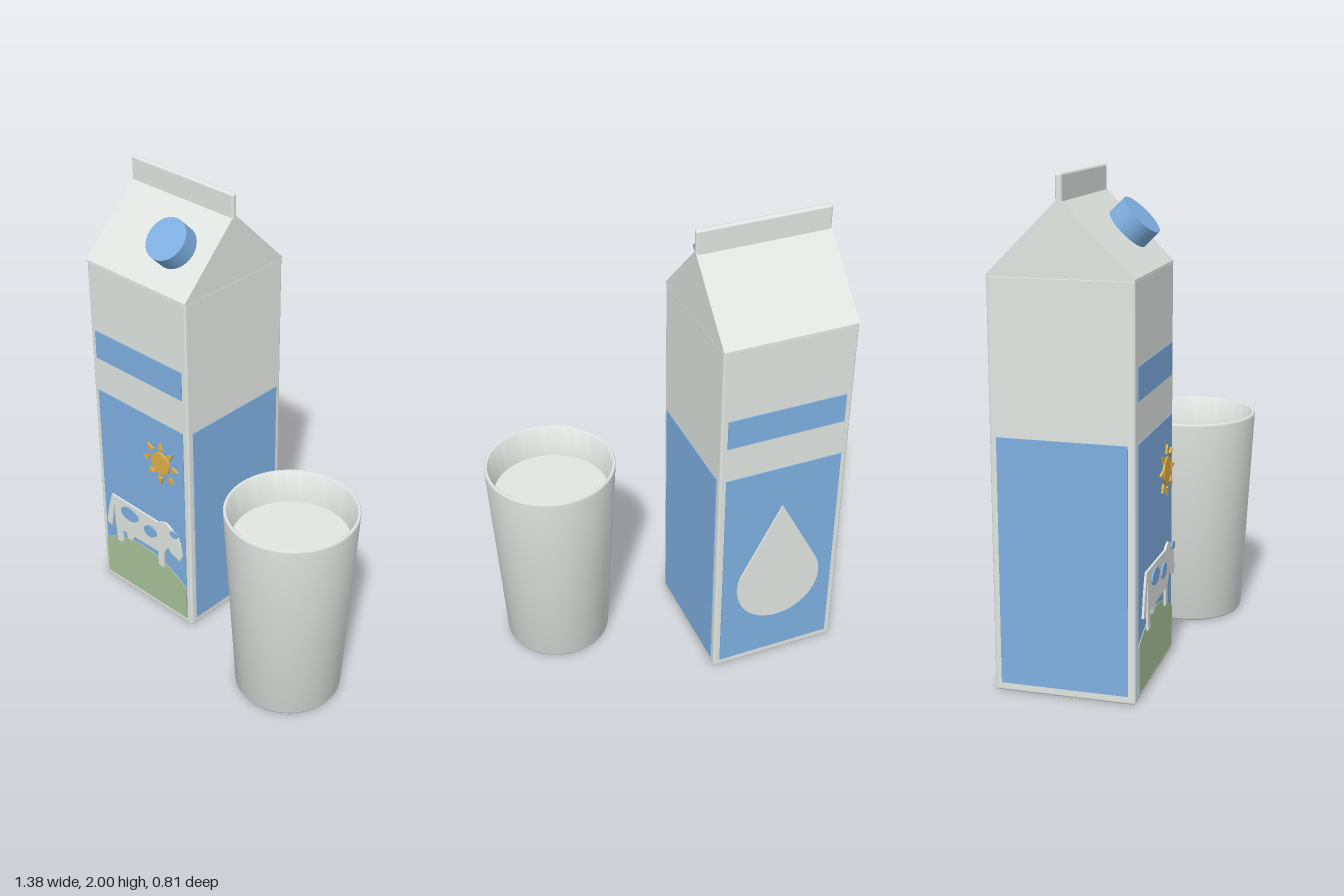
import * as THREE from 'three';
import { toCreasedNormals } from 'three/addons/utils/BufferGeometryUtils.js';
import { RoundedBoxGeometry } from 'three/addons/geometries/RoundedBoxGeometry.js';

const material = (name, color) => {
  const m = new THREE.MeshStandardMaterial({ color });
  m.name = name;
  return m;
};

export function createModel() {
  const white = material('white', 0xe1e6e2);
  const blue = material('blue', 0x7fb0e2);
  const green = material('green', 0xa8c299);
  const yellow = material('yellow', 0xe0b046);

  const model = new THREE.Group();
  model.name = 'milkCartonAndCup';
  const carton = new THREE.Group();
  carton.name = 'carton';
  const cup = new THREE.Group();
  cup.name = 'cup';
  model.add(carton, cup);

  const add = (parent, name, geometry, mat, x = 0, y = 0, z = 0) => {
    const mesh = new THREE.Mesh(geometry, mat);
    mesh.name = name;
    mesh.position.set(x, y, z);
    parent.add(mesh);
    return mesh;
  };
  const plate = (shape, depth) =>
    new THREE.ExtrudeGeometry(shape, { depth, bevelEnabled: false, curveSegments: 24 });
  const polygon = (points) => new THREE.Shape(points.map(([x, y]) => new THREE.Vector2(x, y)));
  const ellipse = (rx, ry, tilt = 0) => {
    const s = new THREE.Shape();
    s.absellipse(0, 0, rx, ry, 0, Math.PI * 2, false, tilt);
    return s;
  };

  // Carton body, gable roof and sealed top fin
  const W = 0.566, H = 1.63, half = W / 2;
  carton.position.set(-0.403, 0, -0.111);
  add(carton, 'cartonBody', new RoundedBoxGeometry(W, H, W, 3, 0.01), white, 0, H / 2, 0);
  const gable = polygon([[-half, H - 0.006], [half, H - 0.006], [half, H], [0, 1.913], [-half, H]]);
  const roof = plate(gable, W);
  roof.translate(0, 0, -half);
  roof.rotateY(Math.PI / 2);
  add(carton, 'roof', roof, white);
  add(carton, 'topFin', new RoundedBoxGeometry(W, 0.11, 0.026, 3, 0.01), white, 0, 1.945, 0);

  // Screw cap standing square on the front slope
  const cap = add(carton, 'screwCap', new THREE.CylinderGeometry(0.093, 0.093, 0.1, 40), blue,
    0.105, 1.773, 0.154);
  cap.rotation.x = Math.PI / 4;
  cap.position.set(0.105, 1.787, 0.168);

  // Blue label panels: front and back carry a stripe as well
  for (const s of [1, -1]) {
    const end = s > 0 ? 'front' : 'back';
    add(carton, end + 'Panel', new THREE.BoxGeometry(0.51, 0.985, 0.008), blue, 0, 0.527, s * half);
    add(carton, end + 'Stripe', new THREE.BoxGeometry(0.51, 0.13, 0.008), blue, 0, 1.245, s * half);
    const side = s > 0 ? 'left' : 'right';
    add(carton, side + 'Panel', new THREE.BoxGeometry(0.008, 0.985, 0.51), blue, s * half, 0.527, 0);
  }

  // Milk drop on the back: a circle with tangents meeting at the tip
  const r = 0.19, cy = 0.42, tip = 0.83;
  const a = Math.PI / 2 - Math.acos(r / (tip - cy));
  const drop = new THREE.Shape();
  drop.moveTo(0, tip);
  drop.lineTo(r * Math.cos(a), cy + r * Math.sin(a));
  drop.absarc(0, cy, r, a, Math.PI - a, true);
  drop.closePath();
  add(carton, 'milkDrop', plate(drop, 0.009), white, 0, 0, -half - 0.016);

  // Front picture, laid out in model x and y
  const picture = new THREE.Group();
  picture.name = 'frontPicture';
  picture.position.set(0.403, 0, half);
  carton.add(picture);

  const hill = new THREE.Shape();
  hill.moveTo(-0.658, 0.034);
  hill.lineTo(-0.148, 0.034);
  hill.lineTo(-0.148, 0.205);
  hill.bezierCurveTo(-0.29, 0.315, -0.48, 0.335, -0.658, 0.23);
  hill.closePath();
  add(picture, 'hill', plate(hill, 0.006), green, 0, 0, 0.002);

  const cow = polygon([
    [-0.594, 0.505], [-0.62, 0.415], [-0.636, 0.335], [-0.606, 0.325], [-0.59, 0.415], [-0.58, 0.46],
    [-0.578, 0.36], [-0.57, 0.262], [-0.536, 0.262], [-0.536, 0.33], [-0.51, 0.336], [-0.5, 0.304],
    [-0.472, 0.304], [-0.456, 0.336], [-0.303, 0.336], [-0.303, 0.262], [-0.272, 0.262],
    [-0.272, 0.336], [-0.24, 0.39], [-0.219, 0.368], [-0.168, 0.352], [-0.156, 0.378],
    [-0.166, 0.44], [-0.177, 0.468], [-0.224, 0.505], [-0.256, 0.517], [-0.288, 0.507], [-0.3, 0.497],
  ]);
  add(picture, 'cow', plate(cow, 0.009), white, 0, 0, 0.011);
  add(picture, 'rearSpot', plate(ellipse(0.054, 0.033), 0.006), blue, -0.477, 0.452, 0.021);
  add(picture, 'frontSpot', plate(ellipse(0.039, 0.029, 0.2), 0.006), blue, -0.346, 0.427, 0.021);
  add(picture, 'cowEar', plate(ellipse(0.023, 0.016), 0.006), blue, -0.197, 0.484, 0.021);

  // Sun with eight pointed rays
  const sun = new THREE.Group();
  sun.name = 'sun';
  sun.position.set(-0.273, 0.82, 0.011);
  picture.add(sun);
  add(sun, 'sunDisc', plate(ellipse(0.053, 0.053), 0.009), yellow);
  const ray = plate(polygon([[0.07, -0.014], [0.105, 0], [0.07, 0.014]]), 0.009);
  for (let i = 0; i < 8; i++) {
    add(sun, 'sunRay', ray, yellow).rotation.z = i * Math.PI / 4;
  }

  // Tapered cup with a rounded foot and rim, filled with milk
  cup.position.set(0.414, 0, 0.13);
  const profile = [
    [0, 0], [0.21, 0], [0.219, 0.004], [0.224, 0.013], [0.273, 0.89], [0.273, 0.896], [0.27, 0.9],
    [0.262, 0.9], [0.258, 0.896], [0.238, 0.74],
  ].map(([x, y]) => new THREE.Vector2(x, y));
  add(cup, 'cupWall', toCreasedNormals(new THREE.LatheGeometry(profile, 64), 0.7), white);
  const milk = new THREE.CircleGeometry(0.242, 64);
  milk.rotateX(-Math.PI / 2);
  add(cup, 'milk', milk, white, 0, 0.76, 0);

  return model;
}
